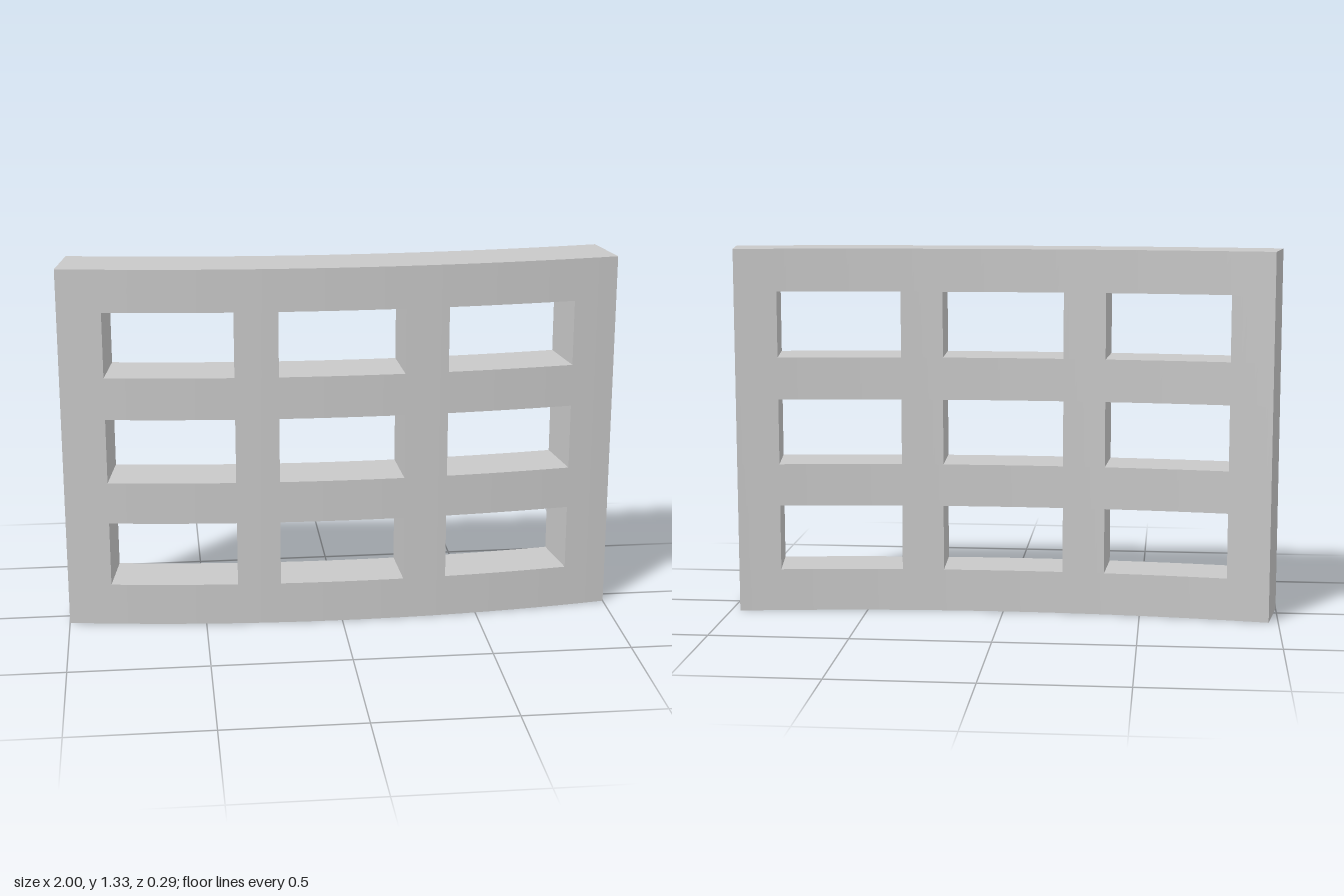
import * as THREE from 'three';

const OUTER = 6.25;        // radius of the bowed front face
const INNER = 6.036;       // radius of the back face
const FRONT_Z = 0.146;     // z of the front face at the middle
const STEPS = 8;           // arc steps per column

// Column borders (x on the front face) and row borders (y); odd column and odd row = opening
const columns = [-1, -0.843, -0.383, -0.226, 0.226, 0.383, 0.843, 1].map(x => Math.asin(x / OUTER));
const rows = [0, 0.154, 0.392, 0.546, 0.784, 0.938, 1.176, 1.33];

const solid = (c, r) => c >= 0 && r >= 0 && c < 7 && r < 7 && !(c % 2 && r % 2);

const point = (radius, a, y) =>
  [radius * Math.sin(a), y, radius * Math.cos(a) - OUTER + FRONT_Z];

function latticeGeometry() {
  const positions = [], normals = [];
  // Counter-clockwise quad with one normal per corner
  const quad = (p, n) => {
    for (const i of [0, 1, 2, 0, 2, 3]) {
      positions.push(...p[i]);
      normals.push(...n[i]);
    }
  };
  const same = n => [n, n, n, n];

  for (let c = 0; c < 7; c++) for (let r = 0; r < 7; r++) {
    if (!solid(c, r)) continue;
    const a0 = columns[c], a1 = columns[c + 1], y0 = rows[r], y1 = rows[r + 1];

    for (let s = 0; s < STEPS; s++) {
      const a = a0 + (a1 - a0) * s / STEPS, b = a0 + (a1 - a0) * (s + 1) / STEPS;
      const na = [Math.sin(a), 0, Math.cos(a)], nb = [Math.sin(b), 0, Math.cos(b)];
      const ma = na.map(v => -v), mb = nb.map(v => -v);
      // Front and back faces
      quad([point(OUTER, a, y0), point(OUTER, b, y0), point(OUTER, b, y1), point(OUTER, a, y1)], [na, nb, nb, na]);
      quad([point(INNER, b, y0), point(INNER, a, y0), point(INNER, a, y1), point(INNER, b, y1)], [mb, ma, ma, mb]);
      // Upward and downward faces beside an opening or the rim
      if (!solid(c, r + 1))
        quad([point(OUTER, a, y1), point(OUTER, b, y1), point(INNER, b, y1), point(INNER, a, y1)], same([0, 1, 0]));
      if (!solid(c, r - 1))
        quad([point(INNER, a, y0), point(INNER, b, y0), point(OUTER, b, y0), point(OUTER, a, y0)], same([0, -1, 0]));
    }

    // Radial side faces
    if (!solid(c + 1, r))
      quad([point(OUTER, a1, y0), point(INNER, a1, y0), point(INNER, a1, y1), point(OUTER, a1, y1)],
        same([Math.cos(a1), 0, -Math.sin(a1)]));
    if (!solid(c - 1, r))
      quad([point(INNER, a0, y0), point(OUTER, a0, y0), point(OUTER, a0, y1), point(INNER, a0, y1)],
        same([-Math.cos(a0), 0, Math.sin(a0)]));
  }

  const geometry = new THREE.BufferGeometry();
  geometry.setAttribute('position', new THREE.Float32BufferAttribute(positions, 3));
  geometry.setAttribute('normal', new THREE.Float32BufferAttribute(normals, 3));
  return geometry;
}

export function createModel() {
  const group = new THREE.Group();
  group.name = 'curvedLatticePanel';
  const grey = new THREE.MeshStandardMaterial({ color: 0xc8c8c8 });
  grey.name = 'light grey';
  const panel = new THREE.Mesh(latticeGeometry(), grey);
  panel.name = 'latticePanel';
  group.add(panel);
  return group;
}
